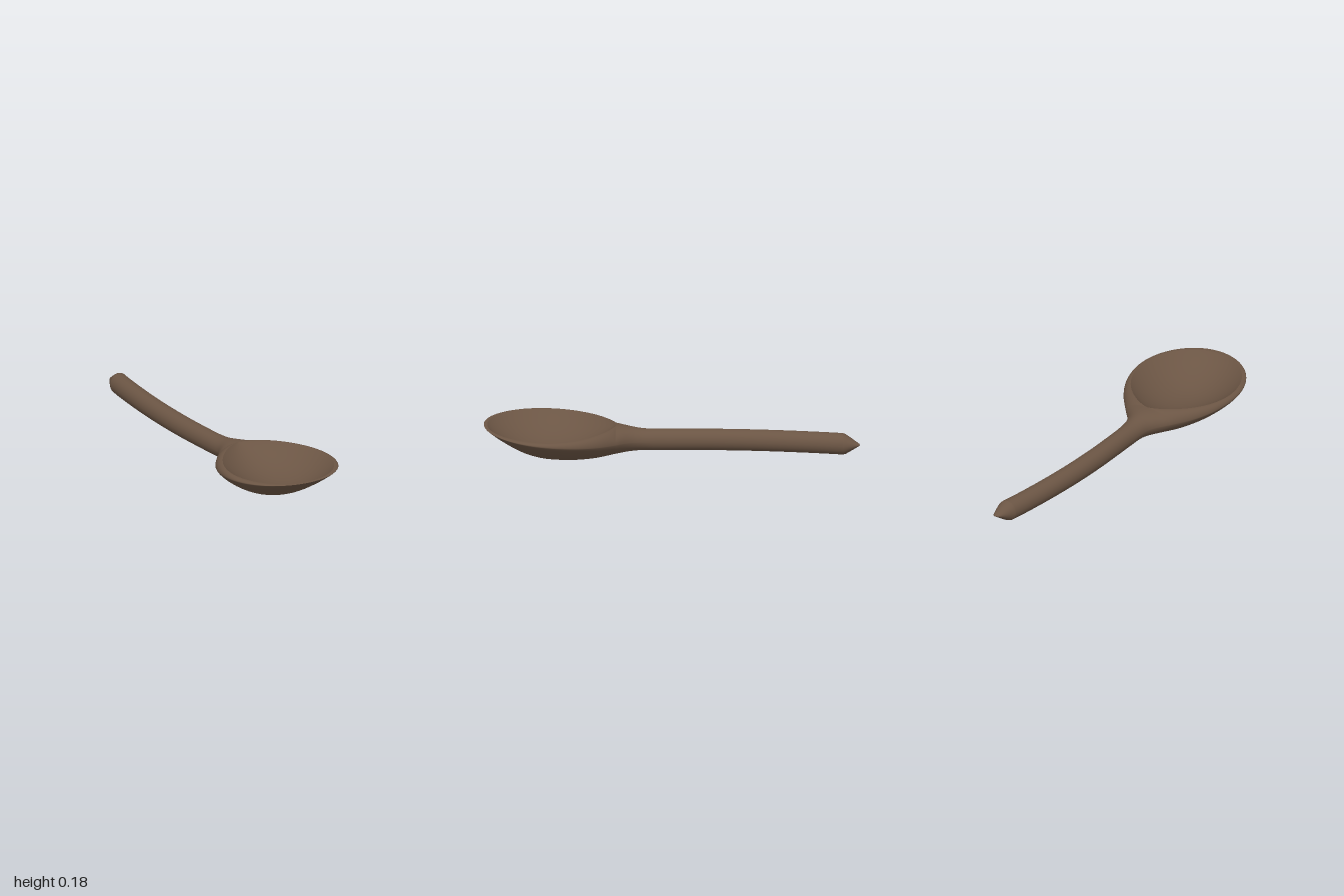
import * as THREE from 'three';
import { mergeVertices } from 'three/addons/utils/BufferGeometryUtils.js';

// Smooth curve through [z, value] pairs listed in rising z
function curve(points) {
  const slope = (i) => {
    const a = points[Math.max(i - 1, 0)], b = points[Math.min(i + 1, points.length - 1)];
    return (b[1] - a[1]) / (b[0] - a[0]);
  };
  return (z) => {
    if (z <= points[0][0]) return points[0][1];
    if (z >= points[points.length - 1][0]) return points[points.length - 1][1];
    let i = 0;
    while (z > points[i + 1][0]) i++;
    const [z0, v0] = points[i], [z1, v1] = points[i + 1];
    const h = z1 - z0, u = (z - z0) / h, u2 = u * u, u3 = u2 * u;
    return v0 * (2 * u3 - 3 * u2 + 1) + v1 * (3 * u2 - 2 * u3)
      + slope(i) * h * (u3 - 2 * u2 + u) + slope(i + 1) * h * (u3 - u2);
  };
}

// Skin a list of cross-sections of equal length
function loft(rings) {
  const n = rings[0].length, index = [];
  for (let i = 0; i < rings.length - 1; i++) {
    for (let j = 0; j < n - 1; j++) {
      const a = i * n + j, b = a + 1, c = a + n, d = c + 1;
      index.push(a, b, c, b, d, c);
    }
  }
  let geometry = new THREE.BufferGeometry();
  geometry.setAttribute('position', new THREE.Float32BufferAttribute(rings.flat(2), 3));
  geometry.setIndex(index);
  geometry = mergeVertices(geometry, 1e-5);
  geometry.computeVertexNormals();
  return geometry;
}

// Profiles along the spoon
const WIDEST = 0.67, BACK = 0.3, FRONT = 0.982;
const centre = curve([[-1, 0.092], [-0.91, 0.073], [-0.8, 0.054], [-0.6, 0.027], [-0.4, 0.008], [-0.2, -0.002], [0, -0.003], [0.2, 0]]);
const backWidth = curve([[-0.91, 0.054], [-0.4, 0.053], [0, 0.052], [0.1, 0.054], [0.2, 0.067], [0.25, 0.095],
  [0.3, 0.14], [0.4, 0.222], [0.5, 0.277], [0.6, 0.304], [0.67, 0.31], [0.74, 0.304]]);
const bottom = curve([[0.05, 0.037], [0.15, 0.038], [0.2, 0.036], [0.3, 0.024], [0.4, 0.008], [0.5, 0.001], [0.6, 0.003],
  [0.7, 0.015], [0.8, 0.049], [0.9, 0.108], [1, 0.18]]);
const side = curve([[0.1, 0.095], [0.2, 0.1], [0.3, 0.11], [0.5, 0.135], [0.67, 0.152], [0.85, 0.167], [1, 0.18]]);
const top = curve([[0.05, 0.152], [0.15, 0.155], [0.25, 0.171], [0.3, 0.175], [0.5, 0.171], [0.67, 0.172], [0.85, 0.176], [1, 0.18]]);
const fullness = curve([[0.1, 0.5], [0.45, 0.8], [0.67, 0.85]]);

const width = (z) => z <= WIDEST ? backWidth(z)
  : 0.31 * Math.sqrt(Math.max(0, 1 - ((z - WIDEST) / (1 - WIDEST)) ** 2));

// 1 at the middle of the hollow, 0 at its ends
function hollow(z) {
  const v = (z - WIDEST) / ((z > WIDEST ? FRONT : BACK) - WIDEST);
  return Math.max(0, 1 - v * v);
}
const innerWidth = (z) => (z <= BACK || z >= FRONT) ? 0 : 0.285 * Math.pow(hollow(z), z > WIDEST ? 0.5 : 0.7);

// Outer section: rim edge, round the underside, to the opposite rim edge
function outerRing(z) {
  const w = width(z), wi = Math.min(innerWidth(z), w), s = side(z), t = top(z), b = bottom(z), c = centre(z);
  const rim = [], under = [];
  for (let i = 0; i < 10; i++) {
    const a = (i / 10) * Math.PI / 2;
    rim.push([wi + (w - wi) * Math.sin(a), s + (t - s) * Math.cos(a)]);
  }
  for (let i = 0; i <= 32; i++) {
    const a = (i / 32) * Math.PI;
    under.push([w * Math.cos(a), s - (s - b) * Math.pow(Math.max(0, Math.sin(a)), 2 * fullness(z))]);
  }
  const mirrored = rim.map(([x, y]) => [-x, y]).reverse();
  return [...rim, ...under, ...mirrored].map(([x, y]) => [x + c, y, z]);
}

// Section across the hollow
function hollowRing(z) {
  const wi = innerWidth(z), c = centre(z), depth = 0.12 * Math.pow(hollow(z), 0.9), ring = [];
  for (let i = 0; i <= 28; i++) {
    const x = -Math.cos((i / 28) * Math.PI);
    ring.push([x * wi + c, top(z) - depth * (1 - x * x), z]);
  }
  return ring;
}

// Stations from z0 to z1, crowded towards both ends
function stations(z0, z1, count) {
  return Array.from({ length: count + 1 }, (_, i) => z0 + (z1 - z0) * (1 - Math.cos((i / count) * Math.PI)) / 2);
}

export function createModel() {
  const wood = new THREE.MeshStandardMaterial({ color: 0x6b5544 });
  wood.name = 'darkWood';
  const spoon = new THREE.Group();
  spoon.name = 'spoon';
  const add = (name, geometry) => {
    const mesh = new THREE.Mesh(geometry, wood);
    mesh.name = name;
    spoon.add(mesh);
  };

  // Bowl shell, neck and curved handle in one skin
  const bowl = stations(FRONT, BACK, 44);
  bowl[0] = FRONT;
  bowl[44] = BACK;
  const lip = [1, 0.9995, 0.998, 0.995, 0.99, 0.986];
  const neck = Array.from({ length: 14 }, (_, i) => BACK - 0.02 * (i + 1));
  const handle = Array.from({ length: 20 }, (_, i) => 0.02 - 0.93 * (i + 1) / 20);
  add('bowlAndHandle', loft([...lip, ...bowl, ...neck, ...handle].map(outerRing)));

  // Scooped inside of the bowl
  add('bowlHollow', loft(bowl.map(hollowRing)));

  // Blunt pointed end of the handle: z, width and height factors
  const tip = [[-0.91, 1, 1], [-0.925, 0.93, 0.9], [-0.955, 0.68, 0.56], [-0.985, 0.4, 0.2], [-0.996, 0.22, 0.07], [-1, 0, 0]];
  const end = outerRing(-0.91), c0 = centre(-0.91);
  add('handleTip', loft(tip.map(([z, fx, fy]) =>
    end.map(([x, y]) => [centre(z) + (x - c0) * fx, 0.095 + (y - 0.095) * fy, z]))));

  return spoon;
}
